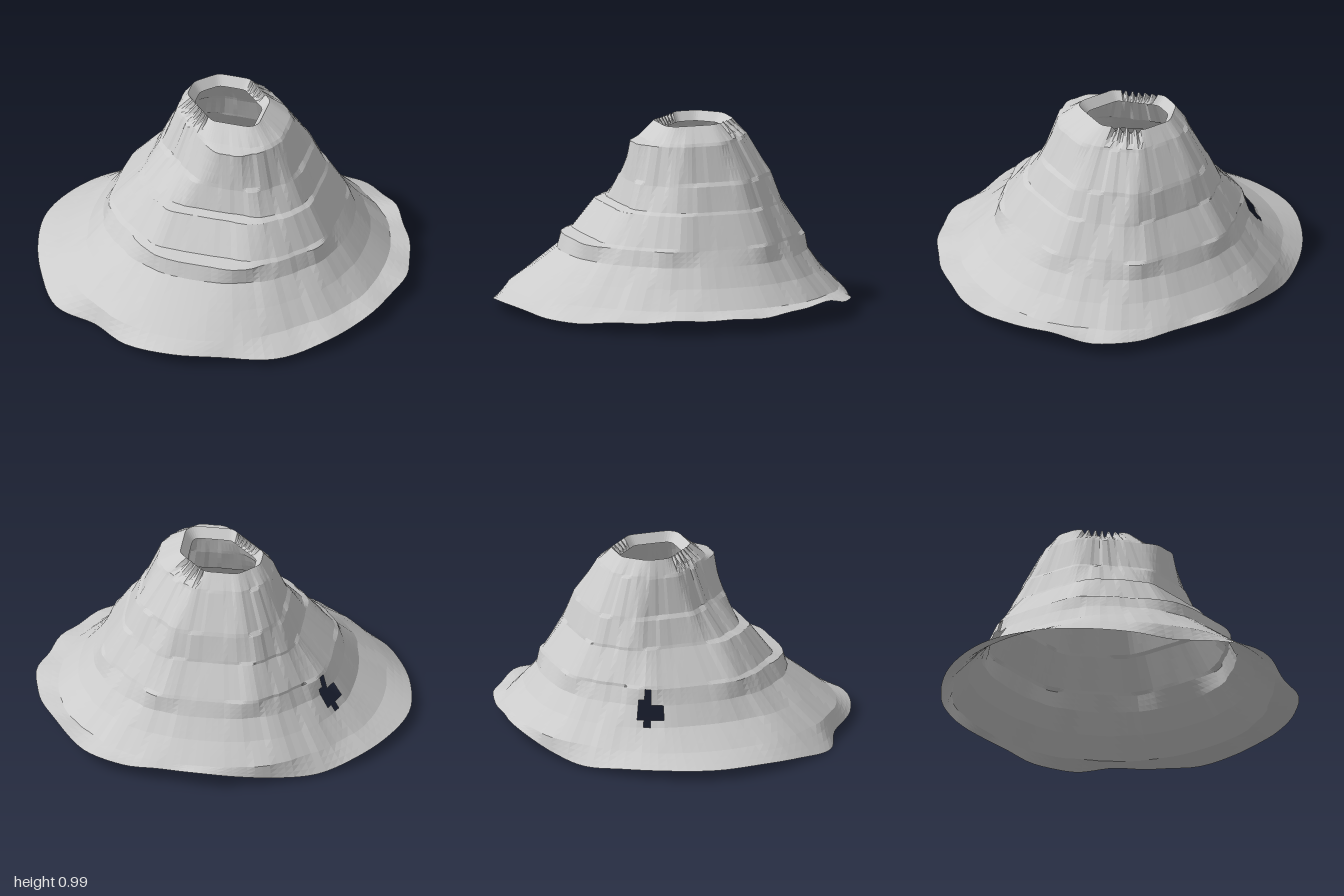
import * as THREE from 'three';

const SEG = 120, SUB = 3, AXIS_Z = -0.14;

// Smooth periodic lookup: t in 0..1 around a closed list of samples
function around(list, t) {
  const n = list.length, f = t * n, i = Math.floor(f), u = f - i;
  const p = k => list[(i + k + n) % n];
  const [a, b, c, d] = [p(-1), p(0), p(1), p(2)];
  return b + 0.5 * u * (c - a + u * (2 * a - 5 * b + 4 * c - d + u * (3 * (b - c) + d - a)));
}

// Soft-cornered octagon: radius at t from the distances of its eight flats
function octagon(flats, t, sharpness) {
  let sum = 0;
  flats.forEach((d, k) => {
    const c = Math.cos(t * Math.PI * 2 - k * Math.PI / 4);
    if (c > 0) sum += (c / d) ** sharpness;
  });
  return sum ** (-1 / sharpness);
}

// Wavy foot: radius and height every 15 degrees, from +x round through +z
const footR = [1, 1, 1.015, 1.035, 1.06, 1.03, 1.07, 1.045, .975, 1.035, 1.015, 1.005,
  1, .955, .905, .85, .80, .785, .80, .80, .86, .92, .935, .96];
const footY = [.09, .09, .08, .065, .05, .06, .08, .05, .025, .01, .035, .055,
  .06, .06, .05, .025, .04, .07, .1, .09, .08, .09, .12, .1];

// Terraced slope: height, then the flats every 45 degrees, from +x round through +z
const slope = [
  [.12, [.89, .92, 1.0, .94, .87, .80, .765, .84]],
  [.22, [.78, .82, .86, .82, .715, .715, .67, .74]],
  [.32, [.70, .73, .72, .70, .645, .635, .60, .66]],
  [.40, [.63, .68, .68, .63, .59, .58, .56, .60]],
  [.415, [.62, .66, .60, .60, .575, .575, .55, .59]],
  [.57, [.525, .56, .48, .485, .43, .48, .445, .50]],
  [.585, [.51, .53, .43, .44, .42, .475, .44, .49]],
  [.71, [.45, .46, .39, .33, .36, .42, .40, .43]],
  [.73, [.43, .45, .385, .31, .34, .41, .39, .42]],
  [.91, [.35, .385, .36, .235, .275, .31, .29, .30]],
  [.925, [.335, .365, .29, .225, .265, .30, .28, .29]],
];
const rimFlats = [.22, .27, .20, .16, .22, .235, .22, .20];
const lipFlats = [.18, .226, .16, .13, .18, .195, .18, .16];

// One ring of points from radius and height rules
function ring(radius, height) {
  return Array.from({ length: SEG }, (_, i) => {
    const t = i / SEG, a = t * Math.PI * 2, r = radius(t, i);
    return new THREE.Vector3(r * Math.cos(a), height(t, i), AXIS_Z + r * Math.sin(a));
  });
}

function buildRings() {
  // Fine ripples along the foot, fading out on the smooth -x side
  const ripple = t => Math.sin(t * Math.PI * 38) * Math.max(0, Math.cos(t * Math.PI * 2) + 0.4);
  const keys = [ring(t => around(footR, t) + 0.004 * ripple(t),
    t => around(footY, t) + 0.004 * ripple(t))];
  slope.forEach(([y, flats], k) => {
    // Stepped gullies, deepest on the diagonal faces
    const gully = t => 0.006 * Math.abs(Math.sin(t * Math.PI * 4));
    keys.push(ring(
      (t, i) => octagon(flats, t, y < 0.35 ? 8 : 20)
        + gully(t) * (((Math.floor(i / 3) * 7 + k) % 5) / 2 - 1),
      () => y));
  });
  // Crest serrated on two opposite diagonals, then the inner crater lip
  const serrated = t => (t > 0.3 && t < 0.47) || (t > 0.8 && t < 0.93);
  keys.push(ring(t => octagon(rimFlats, t, 30),
    (t, i) => (serrated(t) && i % 4 < 2 ? 0.97 : 1)));
  keys.push(ring(t => octagon(lipFlats, t, 30), () => 0.95));

  // Subdivide between key rings
  const rings = [keys[0]];
  for (let k = 1; k < keys.length; k++)
    for (let s = 1; s <= SUB; s++)
      rings.push(keys[k].map((p, i) => keys[k - 1][i].clone().lerp(p, s / SUB)));
  return rings;
}

// Small ragged opening in the slope on the -x, -z side
function inOpening(x, z) {
  return x > -0.645 && x < (z < -0.37 ? -0.565 : -0.595) && z > -0.43 && z < -0.32;
}

function shellGeometry() {
  const rings = buildRings(), pos = [], index = [];
  rings.forEach(r => r.forEach(p => pos.push(p.x, p.y, p.z)));
  for (let k = 0; k < rings.length - 1; k++) {
    for (let i = 0; i < SEG; i++) {
      const j = (i + 1) % SEG;
      const mid = rings[k][i].clone().add(rings[k + 1][j]).multiplyScalar(0.5);
      if (inOpening(mid.x, mid.z)) continue;
      const a = k * SEG + i, b = k * SEG + j, c = a + SEG, d = b + SEG;
      index.push(a, c, b, b, c, d);
    }
  }
  const g = new THREE.BufferGeometry();
  g.setAttribute('position', new THREE.Float32BufferAttribute(pos, 3));
  g.setIndex(index);
  g.computeVertexNormals();
  return g;
}

export function createModel() {
  const group = new THREE.Group();
  group.name = 'volcano';
  const material = new THREE.MeshStandardMaterial({
    color: 0xcccccc, flatShading: true, side: THREE.DoubleSide,
  });
  const shell = new THREE.Mesh(shellGeometry(), material);
  shell.name = 'volcanoShell';
  group.add(shell);
  return group;
}
